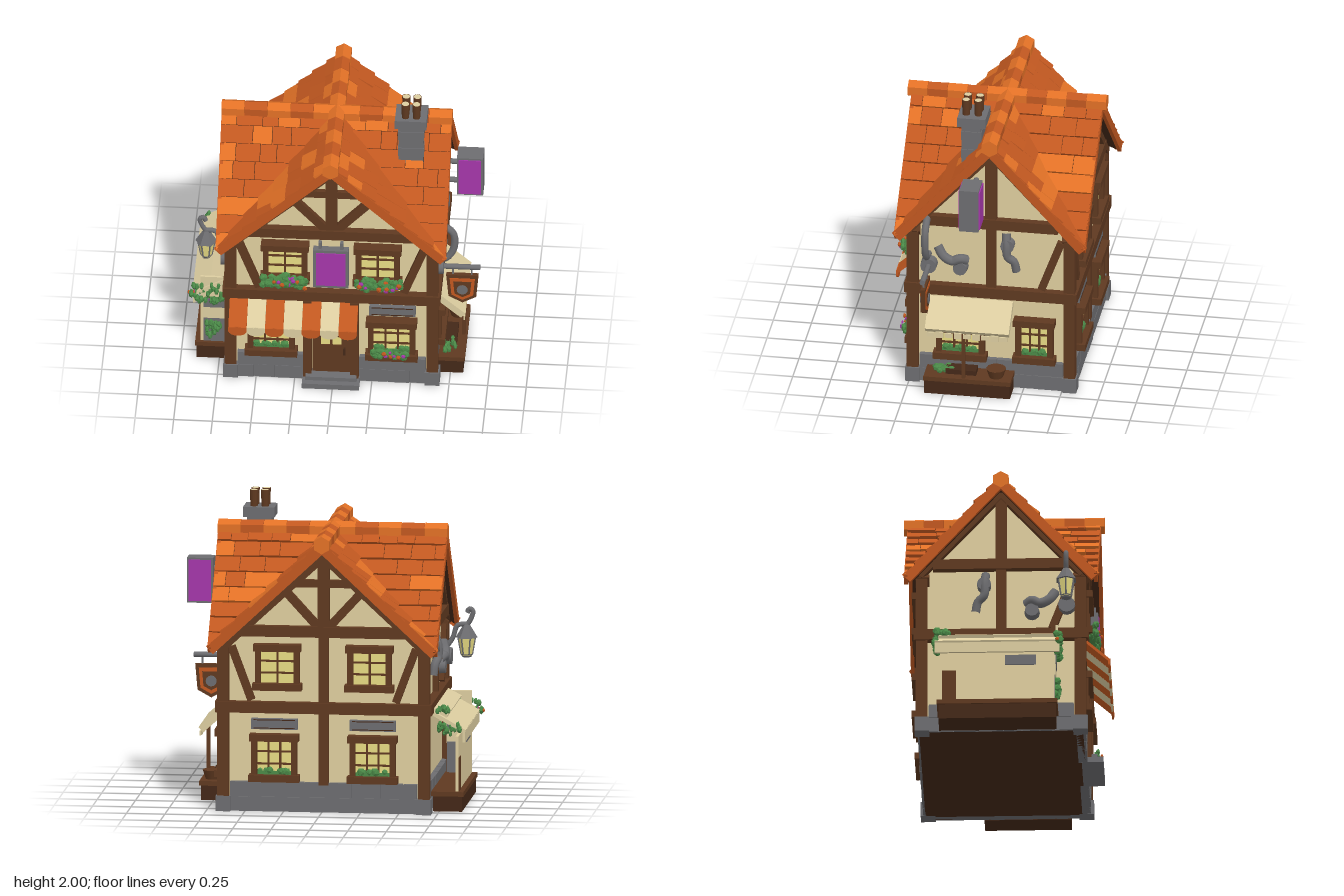
import * as THREE from 'three';
import { mergeGeometries } from 'three/addons/utils/BufferGeometryUtils.js';

const V = (x, y, z) => new THREE.Vector3(x, y, z);
const HALF_W = 0.65, HALF_D = 0.51, RIDGE_Y = 1.77, EAVE_Y = 1.075;

export function createModel() {
  const root = new THREE.Group();
  root.name = 'timberHouse';
  const mat = {};
  const colours = { plaster: 0xdfce9e, wood: 0x5f3920, darkWood: 0x442818, stone: 0x6d6d70, tile: 0xc25820,
    lightTile: 0xe27126, glow: 0xe8dc84, leaf: 0x4b8a48, purple: 0xa537aa, cream: 0xdccda0 };
  for (const k in colours) { mat[k] = new THREE.MeshStandardMaterial({ color: colours[k] }); mat[k].name = k; }
  let seed = 7;
  const rnd = (a = 0, b = 1) => { seed = (seed * 16807) % 2147483647; return a + (b - a) * seed / 2147483647; };

  const add = (p, name, m, geo, x = 0, y = 0, z = 0) => {
    const o = new THREE.Mesh(geo, mat[m]);
    o.name = name; o.position.set(x, y, z); p.add(o);
    return o;
  };
  const box = (p, name, m, w, h, d, x, y, z) => add(p, name, m, new THREE.BoxGeometry(w, h, d), x, y, z);
  const group = (p, name, x = 0, y = 0, z = 0, ry = 0) => {
    const g = new THREE.Group();
    g.name = name; g.position.set(x, y, z); g.rotation.y = ry; p.add(g);
    return g;
  };
  const faceted = g => { const f = g.index ? g.toNonIndexed() : g; f.computeVertexNormals(); return f; };
  // straight timber lying on a wall between two points
  const strut = (p, name, x1, y1, x2, y2, w, d = 0.07) => {
    const o = box(p, name, 'wood', Math.hypot(x2 - x1, y2 - y1), w, d, (x1 + x2) / 2, (y1 + y2) / 2, 0);
    o.rotation.z = Math.atan2(y2 - y1, x2 - x1);
  };
  // sloping board running outward from a wall
  const slope = (p, name, m, w, t, x, y1, z1, y2, z2) => {
    const o = box(p, name, m, w, t, Math.hypot(y2 - y1, z2 - z1), x, (y1 + y2) / 2, (z1 + z2) / 2);
    o.rotation.x = Math.atan2(y1 - y2, z2 - z1);
  };
  const tube = (p, name, m, pts, r) => add(p, name, m,
    new THREE.TubeGeometry(new THREE.CatmullRomCurve3(pts.map(a => V(...a))), 16, r, 8));
  const rod = (p, name, m, r1, r2, len, x, y, z, seg = 12) => {
    const o = add(p, name, m, new THREE.CylinderGeometry(r1, r2, len, seg), x, y, z);
    o.rotation.x = Math.PI / 2;
    return o;
  };
  // polygon pushed along a vector
  const prism = (pts, off) => {
    const n = V().subVectors(pts[1], pts[0]).cross(V().subVectors(pts[2], pts[0]));
    const t = n.dot(off) > 0 ? [...pts].reverse() : pts, b = t.map(q => q.clone().add(off)), out = [];
    for (let i = 1; i < t.length - 1; i++) out.push(t[0], t[i], t[i + 1], b[0], b[i + 1], b[i]);
    t.forEach((a, i) => { const j = (i + 1) % t.length; out.push(a, b[i], b[j], a, b[j], t[j]); });
    const g = new THREE.BufferGeometry().setFromPoints(out);
    g.computeVertexNormals();
    return g;
  };
  // clump of leaves with optional blossoms
  const foliage = (p, x, y, z, w, h, d, n, flowers = 0) => {
    const clump = (name, m, count, r, dz) => {
      const gs = [];
      for (let i = 0; i < count; i++) {
        const g = new THREE.IcosahedronGeometry(r * rnd(0.7, 1.2), 0);
        g.rotateX(rnd(0, 3)); g.rotateZ(rnd(0, 3)); g.scale(1, 1, 0.6);
        g.computeVertexNormals();
        g.translate(x + rnd(-w, w) / 2, y + rnd(-h, h) / 2, z + dz + rnd(-d, d) / 2);
        gs.push(g);
      }
      if (count) add(p, name, m, mergeGeometries(gs));
    };
    clump('leaves', 'leaf', n, 0.026, 0);
    clump('purpleBlossoms', 'purple', flowers, 0.016, 0.025);
    clump('redBlossoms', 'tile', flowers, 0.016, 0.025);
  };
  const windowUnit = (p, x, y, w, h, cols, plants) => {
    const g = group(p, 'window', x, y, 0);
    box(g, 'glass', 'glow', w - 0.07, h - 0.06, 0.01, 0, 0, 0.014);
    for (const s of [-1, 1]) {
      box(g, 'jamb', 'wood', 0.036, h, 0.06, s * (w / 2 - 0.03), 0, 0.02);
      box(g, s > 0 ? 'lintel' : 'sill', 'wood', w + (s < 0 ? 0.01 : 0), 0.045, 0.09, 0, s * (h / 2 - 0.022), 0.03);
    }
    for (let i = 1; i < cols; i++) box(g, 'mullion', 'wood', 0.013, h - 0.06, 0.016, (i / cols - 0.5) * (w - 0.09), 0, 0.02);
    for (let i = 1; i < 3; i++) box(g, 'glazingBar', 'wood', w - 0.08, 0.012, 0.016, 0, (i / 3 - 0.5) * (h - 0.07), 0.02);
    if (plants) {
      box(g, 'windowPlants', 'leaf', w - 0.1, 0.025, 0.008, 0, -h / 2 + 0.055, 0.026);
      foliage(g, 0, -h / 2 + 0.068, 0.02, w - 0.13, 0.012, 0.01, 9);
    }
  };
  const plaque = (p, x) => {
    box(p, 'stonePlaque', 'stone', 0.3, 0.07, 0.03, x, 0.575, 0.02);
    for (const s of [-1, 1]) box(p, 'plaqueEdge', 'darkWood', 0.27, 0.006, 0.034, x, 0.575 + s * 0.027, 0.02);
  };
  const footing = (p, ranges) => {
    for (const [a, b] of ranges) {
      box(p, 'footingCore', 'stone', b - a, 0.19, 0.05, (a + b) / 2, 0.096, 0);
      for (let r = 0; r < 2; r++) for (let x = a; x < b - 0.01;) {
        let e = x + rnd(0.11, 0.2);
        if (b - e < 0.07) e = b;
        box(p, 'footingStone', 'stone', e - x - 0.006, 0.095, 0.06 + rnd(0, 0.014), (x + e) / 2, 0.05 + r * 0.098, 0);
        x = e;
      }
    }
  };

  const house = group(root, 'house', -0.012, 0, -0.035);
  box(house, 'floor', 'darkWood', 2 * HALF_W + 0.04, 0.02, 2 * HALF_D + 0.04, 0, 0.011, 0);
  // plaster walls: two crossing gabled blocks
  for (const [w, d, low, ry] of [[HALF_W, HALF_D, 1.08, 0], [HALF_D, HALF_W, 1.12, Math.PI / 2]]) {
    const s = new THREE.Shape([[-w, 0.015], [w, 0.015], [w, low], [0, 1.7], [-w, low]].map(a => new THREE.Vector2(...a)));
    const g = new THREE.ExtrudeGeometry(s, { depth: 2 * d, bevelEnabled: false }).translate(0, 0, -d);
    add(house, 'walls', 'plaster', g).rotation.y = ry;
  }
  // corner posts on stone feet
  for (const sx of [-1, 1]) for (const sz of [-1, 1]) {
    box(house, 'cornerPost', 'wood', 0.075, 1.06, 0.075, sx * 0.653, 0.56, sz * 0.513);
    box(house, 'cornerFoot', 'stone', 0.095, 0.1, 0.095, sx * 0.653, 0.05, sz * 0.513);
  }
  const P = Math.PI;
  const front = group(house, 'frontWall', 0, 0, HALF_D);
  const back = group(house, 'backWall', 0, 0, -HALF_D, P);
  const right = group(house, 'leftSideWall', HALF_W, 0, 0, P / 2);
  const left = group(house, 'rightSideWall', -HALF_W, 0, 0, -P / 2);

  // timber frame for every wall
  for (const wall of [front, back, right, left]) {
    const wide = wall === front || wall === back, w = wide ? HALF_W : HALF_D;
    box(wall, 'beltBeam', 'wood', 2 * w + 0.1, 0.072, 0.11, 0, 0.685, 0);
    box(wall, 'gableBeam', 'wood', wide ? 1.1 : 0.88, 0.07, 0.1, 0, 1.185, 0);
    box(wall, 'kingPost', 'wood', 0.075, 0.48, 0.075, 0, 1.45, 0);
    if (wall !== front) box(wall, 'middlePost', 'wood', 0.065, 0.45, 0.07, 0, 0.93, 0);
    if (wall === back) box(wall, 'lowerPost', 'wood', 0.065, 0.48, 0.07, 0, 0.42, 0);
    for (const s of [-1, 1]) {
      strut(wall, 'rafter', 0, 1.69, s * (w + 0.02), wide ? 1.07 : 1.11, wide ? 0.07 : 0.05, 0.09);
      if (wide || s > 0) strut(wall, 'brace', s * (w - 0.18), 0.73, s * (w - 0.05), 1.08, 0.05);
      if (wide) {
        strut(wall, 'fanBrace', s * 0.03, 1.21, s * 0.25, 1.45, 0.055);
        box(wall, 'collarBeam', 'wood', 0.22, 0.05, 0.06, s * 0.13, 1.5, 0);
        windowUnit(wall, s * 0.3, 0.95, 0.31, 0.3, 2, false);
      }
    }
    footing(wall, wall === front ? [[-0.61, -0.17], [0.18, 0.61]] : [[-w + 0.04, w - 0.04]]);
  }

  // roof: four gables meeting at valleys
  for (let k = 0; k < 4; k++) {
    const g = group(house, 'roofGable', 0, 0, 0, k * P / 2);
    const [L, X] = k % 2 ? [0.742, 0.622] : [0.622, 0.742], drop = RIDGE_Y - EAVE_Y;
    const tiles = { tile: [], lightTile: [] };
    for (const s of [-1, 1]) {
      const n = V(s * drop, X, 0).normalize();
      const at = (u, v, h) => V(s * X * v, RIDGE_Y - drop * v, u).addScaledVector(n, h);
      add(g, 'roofBoards', 'darkWood', prism([at(0, 0, 0), at(L, 0, 0), at(L, 1, 0)], n.clone().multiplyScalar(-0.045)));
      // narrow verge under the end tiles
      tiles.tile.push(prism([at(L - 0.02, 0, 0.012), at(L + 0.004, 0, 0.012), at(L + 0.004, 1, 0.012), at(L - 0.02, 1, 0.012)],
        n.clone().multiplyScalar(-0.06)));
      const rows = 8;
      for (let r = 0; r < rows; r++) {
        const v0 = r / rows, v1 = (r + 1) / rows;
        let u = L * v0, first = true;
        while (u < L - 0.005) {
          let e = (first ? L * v1 : u) + rnd(0.09, 0.18);
          if (L - e < 0.06) e = L;
          const h = rnd(0.02, 0.032), gap = e === L ? 0 : 0.004;
          tiles[rnd() < 0.22 ? 'lightTile' : 'tile'].push(prism([at(u, v0, 0.01), at(e - gap, v0, 0.01),
            at(Math.max(e - gap, L * v1), v1 - 0.002, h), at(first ? L * v1 : u, v1 - 0.002, h)], n.clone().multiplyScalar(-0.03)));
          u = e; first = false;
        }
      }
    }
    for (const m in tiles) add(g, 'roofTiles', m, mergeGeometries(tiles[m]));
    for (let i = 0; i < 5; i++) {
      const len = (L + (k % 2 ? 0.006 : 0.028)) / 5;
      const c = new THREE.CylinderGeometry(0.058 - (i % 2) * 0.003, 0.058, len - 0.002, 6).rotateX(P / 2);
      add(g, 'ridgeTile', i % 2 ? 'tile' : 'lightTile', faceted(c), 0, RIDGE_Y - (k % 2 ? 0.006 : 0), len * (i + 0.5));
    }
  }

  // chimney
  const chimney = group(root, 'chimney', 0.48, 0, 0.112);
  for (let i = 0; i < 9; i++)
    box(chimney, 'chimneyCourse', 'stone', 0.16 + (i % 2) * 0.008, 0.064, 0.125 + (i % 2) * 0.008, 0, 1.3 + i * 0.065, 0);
  box(chimney, 'chimneyCap', 'stone', 0.205, 0.065, 0.185, 0, 1.86, -0.004);
  for (const sx of [-1, 1]) for (const sz of [-1, 1]) {
    add(chimney, 'chimneyPot', 'wood', new THREE.CylinderGeometry(0.028, 0.024, 0.115, 10), sx * 0.036, 1.942, sz * 0.04);
    add(chimney, 'potOpening', 'cream', new THREE.CylinderGeometry(0.024, 0.024, 0.004, 10), sx * 0.036, 1.998, sz * 0.04);
  }

  // front: windows, door, steps, awning, hanging sign, flower boxes
  windowUnit(front, -0.39, 0.34, 0.33, 0.28, 3, true);
  windowUnit(front, 0.39, 0.355, 0.33, 0.31, 3, true);
  foliage(front, 0.38, 0.265, 0.08, 0.22, 0.045, 0.03, 24, 4);
  plaque(front, 0.395);
  const door = group(front, 'door', 0, 0, 0);
  for (const x of [-0.155, 0.15]) box(door, 'doorPost', 'wood', 0.055, 0.62, 0.08, x, 0.34, 0.02);
  box(door, 'doorHeader', 'wood', 0.34, 0.05, 0.08, 0, 0.48, 0.02);
  for (let i = 0; i < 4; i++) box(door, 'doorPlank', 'wood', 0.061, 0.42, 0.03, -0.093 + i * 0.062, 0.255, 0.015);
  box(door, 'doorGlass', 'glow', 0.14, 0.15, 0.008, 0, 0.365, 0.032);
  for (const x of [-0.075, 0, 0.075]) box(door, 'doorMullion', 'wood', 0.014, 0.17, 0.02, x, 0.365, 0.035);
  for (const y of [0.285, 0.365, 0.445]) box(door, 'doorBar', 'wood', 0.156, 0.014, 0.02, 0, y, 0.035);
  box(door, 'doorHandle', 'darkWood', 0.014, 0.05, 0.02, 0.085, 0.24, 0.04);
  box(front, 'lowerStep', 'stone', 0.37, 0.038, 0.14, 0, 0.019, 0.066);
  box(front, 'upperStep', 'stone', 0.33, 0.065, 0.1, 0, 0.033, 0.046);
  for (let i = 0; i < 7; i++) {
    const x = -0.598 + i * 0.119, m = i % 2 ? 'cream' : 'tile';
    slope(front, 'awningStripe', m, 0.118, 0.018, x, 0.64, 0.04, 0.51, 0.185);
    box(front, 'awningValance', m, 0.118, 0.035, 0.014, x, 0.5, 0.188);
    rod(front, 'awningScallop', m, 0.058, 0.058, 0.013, x, 0.486, 0.188, 16).scale.z = 0.6;
  }
  box(front, 'signFrame', 'stone', 0.23, 0.3, 0.05, 0, 0.95, 0.075);
  box(front, 'signPanel', 'purple', 0.19, 0.26, 0.008, 0, 0.95, 0.102);
  for (const x of [-0.07, 0.07]) box(front, 'signHanger', 'stone', 0.02, 0.06, 0.03, x, 1.12, 0.07);
  for (const x of [-0.3, 0.31]) {
    box(front, 'flowerBox', 'leaf', 0.25, 0.05, 0.06, x, 0.81, 0.06);
    foliage(front, x, 0.83, 0.085, 0.29, 0.07, 0.05, 55, 7);
  }

  // back: lower windows and plaques
  for (const x of [-0.32, 0.32]) { windowUnit(back, x, 0.355, 0.32, 0.31, 3, true); plaque(back, x); }

  // side with stall, box sign and shield sign
  windowUnit(right, -0.2, 0.33, 0.34, 0.28, 3, true);
  windowUnit(right, 0.285, 0.355, 0.27, 0.31, 3, true);
  const stall = group(right, 'stall', -0.13, 0, 0);
  slope(stall, 'stallAwning', 'cream', 0.55, 0.045, 0, 0.615, 0.02, 0.46, 0.195);
  for (let i = 0; i < 9; i++) box(stall, 'awningFringe', 'cream', 0.05, 0.03 + (i % 2) * 0.012, 0.01, -0.24 + i * 0.06, 0.435, 0.2);
  box(stall, 'bench', 'darkWood', 0.56, 0.1, 0.16, 0, 0.05, 0.115);
  box(stall, 'benchTop', 'wood', 0.57, 0.03, 0.18, 0, 0.11, 0.115);
  box(stall, 'stallPost', 'wood', 0.022, 0.33, 0.022, -0.025, 0.28, 0.18);
  box(stall, 'crate', 'darkWood', 0.2, 0.035, 0.09, -0.05, 0.14, 0.1);
  foliage(stall, -0.17, 0.14, 0.1, 0.14, 0.02, 0.08, 12);
  add(stall, 'bowl', 'wood', new THREE.CylinderGeometry(0.065, 0.045, 0.06, 12), 0.18, 0.155, 0.13);
  const sign = group(right, 'boxSign', -0.1, 1.408, 0.222);
  box(sign, 'signCase', 'stone', 0.126, 0.295, 0.17, 0, 0, 0);
  for (const s of [-1, 1]) {
    box(sign, 'signFace', 'purple', 0.008, 0.27, 0.145, s * 0.066, 0, 0);
    rod(sign, 'signBracket', 'stone', 0.018, 0.018, 0.24, 0, s * 0.075, -0.15);
  }
  tube(right, 'bentPipe', 'stone', [[-0.415, 0.92, 0], [-0.415, 0.94, 0.09], [-0.415, 1.02, 0.135], [-0.415, 1.14, 0.13],
    [-0.415, 1.19, 0.07], [-0.415, 1.2, 0.02]], 0.024);
  rod(right, 'pipeFlange', 'stone', 0.052, 0.055, 0.06, -0.405, 0.86, 0.04);
  rod(right, 'shieldBar', 'stone', 0.018, 0.018, 0.3, -0.405, 0.86, 0.155);
  const shield = group(right, 'shieldSign', -0.405, 0.69, 0.19, -P / 2);
  const shieldLayer = (name, m, k, d) => {
    const s = new THREE.Shape([[-0.105, 0.11], [0.105, 0.11], [0.09, -0.06], [0, -0.11], [-0.09, -0.06]].map(([a, b]) => new THREE.Vector2(a * k, b * k)));
    add(shield, name, m, new THREE.ExtrudeGeometry(s, { depth: d, bevelEnabled: false }).translate(0, 0, -d / 2));
  };
  shieldLayer('shieldBoard', 'wood', 1, 0.03);
  shieldLayer('shieldInset', 'tile', 0.78, 0.038);
  shieldLayer('shieldCentre', 'wood', 0.56, 0.044);
  rod(shield, 'shieldBoss', 'stone', 0.036, 0.036, 0.055, 0, 0, 0);
  for (const x of [-0.06, 0.06]) box(shield, 'shieldHanger', 'stone', 0.012, 0.07, 0.012, x, 0.135, 0);
  // pipes on both side walls
  for (const [wall, s] of [[right, 1], [left, -1]]) {
    tube(wall, 'crookedPipe', 'stone', [[-0.35 * s, 0.99, 0.02], [-0.31 * s, 0.93, 0.04], [-0.25 * s, 0.9, 0.045], [-0.2 * s, 0.92, 0.045], [-0.16 * s, 0.9, 0.02]], 0.033);
    rod(wall, 'pipeElbow', 'stone', 0.045, 0.05, 0.06, -0.2 * s, 0.85, 0.03);
    tube(wall, 'hangingPipe', 'stone', [[0.1 * s, 1.12, 0.02], [0.105 * s, 1.04, 0.045], [0.11 * s, 0.96, 0.045], [0.15 * s, 0.92, 0.03], [0.165 * s, 0.85, 0.02]], 0.028);
    rod(wall, 'pipeCollar', 'stone', 0.045, 0.045, 0.06, 0.11 * s, 1.04, 0.03);
  }

  // side with lantern and covered stall
  const lantern = group(left, 'lantern', 0.425, 0, 0.168);
  add(lantern, 'lanternGlass', 'glow', faceted(new THREE.CylinderGeometry(0.055, 0.036, 0.12, 6)), 0, 0.945, 0);
  add(lantern, 'lanternBase', 'stone', new THREE.CylinderGeometry(0.04, 0.03, 0.02, 6), 0, 0.885, 0);
  add(lantern, 'lanternCap', 'stone', faceted(new THREE.CylinderGeometry(0.02, 0.072, 0.085, 6)), 0, 1.045, 0);
  for (let i = 0; i < 6; i++) {
    const a = i * P / 3, pt = (r, y) => [Math.sin(a) * r, y, Math.cos(a) * r];
    tube(lantern, 'lanternBar', 'stone', [pt(0.036, 0.89), pt(0.056, 1)], 0.005);
  }
  tube(lantern, 'lanternHook', 'stone', [[0, 1.08, 0], [0, 1.13, 0.03], [0, 1.18, 0.04], [0, 1.19, 0.015], [0, 1.165, 0.005]], 0.016);
  tube(lantern, 'lanternArm', 'stone', [[0, 1.09, 0.01], [0, 1.08, -0.06], [0, 1.0, -0.09], [0, 0.9, -0.16]], 0.016);
  rod(lantern, 'lanternFlange', 'stone', 0.055, 0.055, 0.05, 0, 0.88, -0.12);
  const shop = group(left, 'coveredStall', -0.02, 0, 0);
  slope(shop, 'shopAwning', 'cream', 0.81, 0.025, 0, 0.66, 0.02, 0.53, 0.255);
  slope(shop, 'awningOverlay', 'cream', 0.77, 0.02, 0, 0.685, 0.02, 0.625, 0.14);
  box(shop, 'awningDrop', 'cream', 0.81, 0.07, 0.015, 0, 0.495, 0.25);
  box(shop, 'shopPanel', 'plaster', 0.74, 0.36, 0.02, 0, 0.31, 0.2);
  box(shop, 'stonePatch', 'stone', 0.2, 0.07, 0.02, 0.15, 0.42, 0.206);
  box(shop, 'woodPatch', 'wood', 0.09, 0.22, 0.008, -0.31, 0.24, 0.212);
  box(shop, 'shopPlanter', 'darkWood', 0.76, 0.1, 0.19, 0, 0.05, 0.14);
  box(shop, 'planterRim', 'wood', 0.78, 0.03, 0.21, 0, 0.115, 0.14);
  box(shop, 'endPanel', 'cream', 0.015, 0.14, 0.15, 0.37, 0.39, 0.12);
  box(shop, 'endCloth', 'cream', 0.015, 0.16, 0.18, 0.385, 0.585, 0.12);
  box(shop, 'endStone', 'stone', 0.02, 0.06, 0.14, 0.372, 0.44, 0.12);
  box(shop, 'endBoard', 'stone', 0.015, 0.2, 0.14, 0.365, 0.23, 0.12);
  foliage(shop, 0.395, 0.54, 0.16, 0.02, 0.14, 0.22, 36, 2);
  foliage(shop, 0.38, 0.24, 0.12, 0.02, 0.11, 0.1, 20);
  foliage(shop, -0.36, 0.66, 0.1, 0.08, 0.03, 0.08, 16);
  foliage(shop, -0.395, 0.55, 0.15, 0.02, 0.1, 0.15, 18);
  return root;
}
